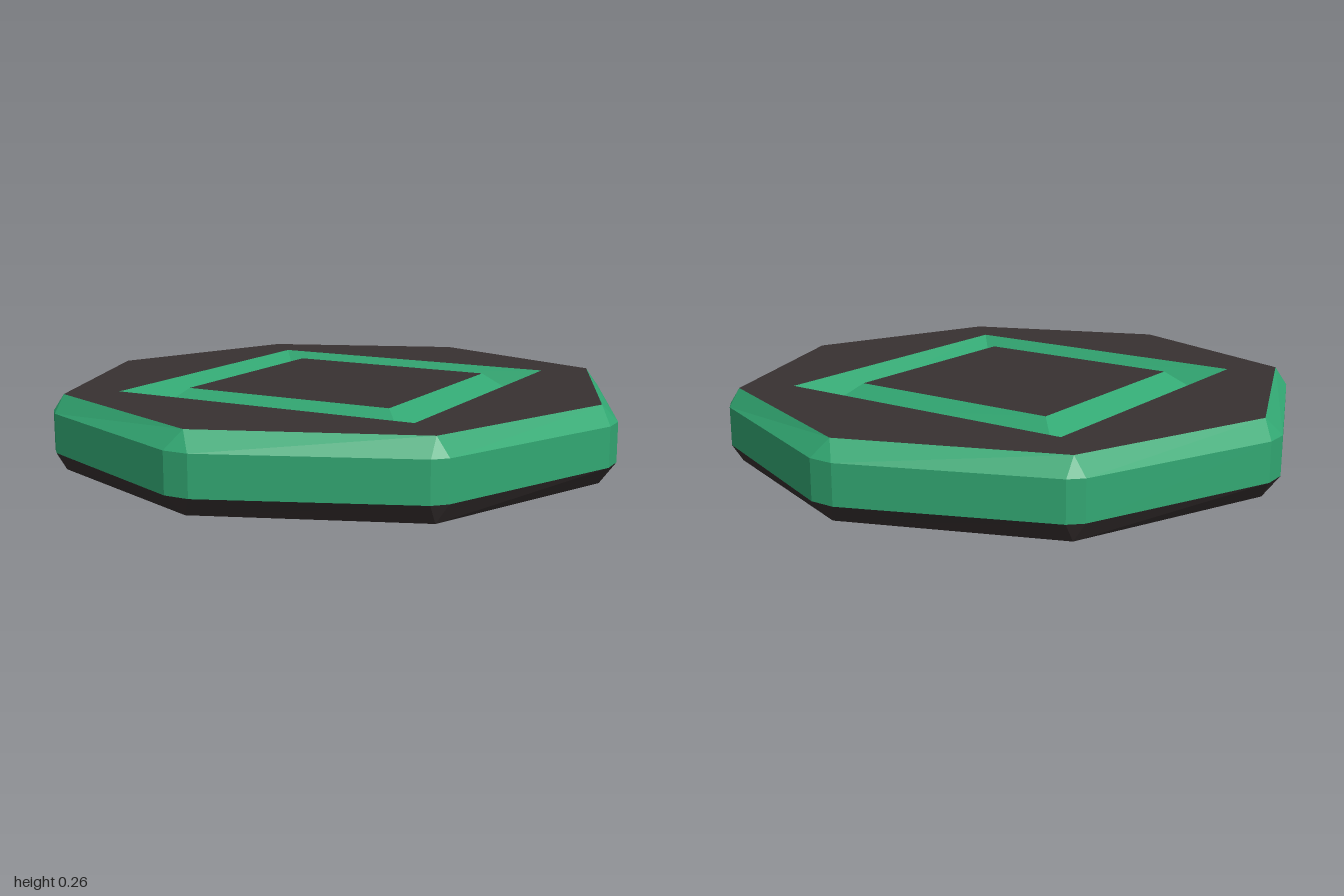
import * as THREE from 'three';

const TOP = 0.26;
const green = new THREE.MeshStandardMaterial({ color: 0x32a873, flatShading: true });
const dark = new THREE.MeshStandardMaterial({ color: 0x383131, flatShading: true });

// Outline points run counter-clockwise seen from above, as Vector2 (x, -z).
const polar = (radial, tangent, angle) =>
  new THREE.Vector2(radial, tangent).rotateAround(new THREE.Vector2(), angle);

// Octagon with every corner listed twice, so it pairs with the chamfered rim
function faceOutline() {
  const pts = [];
  for (let k = 0; k < 8; k++) {
    const p = polar(k % 2 ? 0.97 : 0.957, 0, k * Math.PI / 4);
    pts.push(p, p.clone());
  }
  return pts;
}

// Octagon with cut-off corners
function rimOutline() {
  const pts = [];
  for (let k = 0; k < 8; k++) {
    const [r, t] = k % 2 ? [1.004, 0.029] : [1, 0.043];
    pts.push(polar(r, -t, k * Math.PI / 4), polar(r, t, k * Math.PI / 4));
  }
  return pts;
}

const square = (h) => [[h, h], [-h, h], [-h, -h], [h, -h]].map(([x, y]) => new THREE.Vector2(x, y));
const ring = (outline, y) => outline.map((p) => new THREE.Vector3(p.x, y, -p.y));

// Flat facets joining successive rings; triangles without area are skipped
function loft(...rings) {
  const tris = [];
  const add = (a, b, c) => {
    if (!a.equals(b) && !b.equals(c) && !c.equals(a)) tris.push(a, b, c);
  };
  for (let r = 0; r + 1 < rings.length; r++) {
    const a = rings[r], b = rings[r + 1];
    for (let i = 0; i < a.length; i++) {
      const j = (i + 1) % a.length;
      add(a[i], a[j], b[j]);
      add(a[i], b[j], b[i]);
    }
  }
  const geo = new THREE.BufferGeometry().setFromPoints(tris);
  geo.computeVertexNormals();
  return geo;
}

// Horizontal face at height y, optionally with a hole
function plate(outline, y, hole, down = false) {
  const shape = new THREE.Shape(outline);
  if (hole) shape.holes.push(new THREE.Path(hole));
  const geo = new THREE.ShapeGeometry(shape);
  geo.rotateX(down ? Math.PI / 2 : -Math.PI / 2);
  return geo.translate(0, y, 0);
}

export function createModel() {
  const model = new THREE.Group();
  const add = (name, geo, material) => {
    const mesh = new THREE.Mesh(geo, material);
    mesh.name = name;
    model.add(mesh);
  };

  const face = faceOutline();
  const rim = rimOutline();
  const corners = face.filter((_, i) => i % 2 === 0);

  // Octagonal body: dark underside, green band and upper bevel
  add('underside', plate(corners, 0, null, true), dark);
  add('lowerBevel', loft(ring(face, 0), ring(rim, 0.065)), dark);
  add('rim', loft(ring(rim, 0.065), ring(rim, 0.2), ring(face, TOP)), green);

  // Top face, V-shaped square groove and centre panel level with the top
  add('topFace', plate(corners, TOP, square(0.555)), dark);
  add('squareGroove', loft(
    ring(square(0.555), TOP), ring(square(0.48), TOP - 0.083), ring(square(0.385), TOP)), green);
  add('centrePanel', plate(square(0.385), TOP), dark);

  return model;
}
